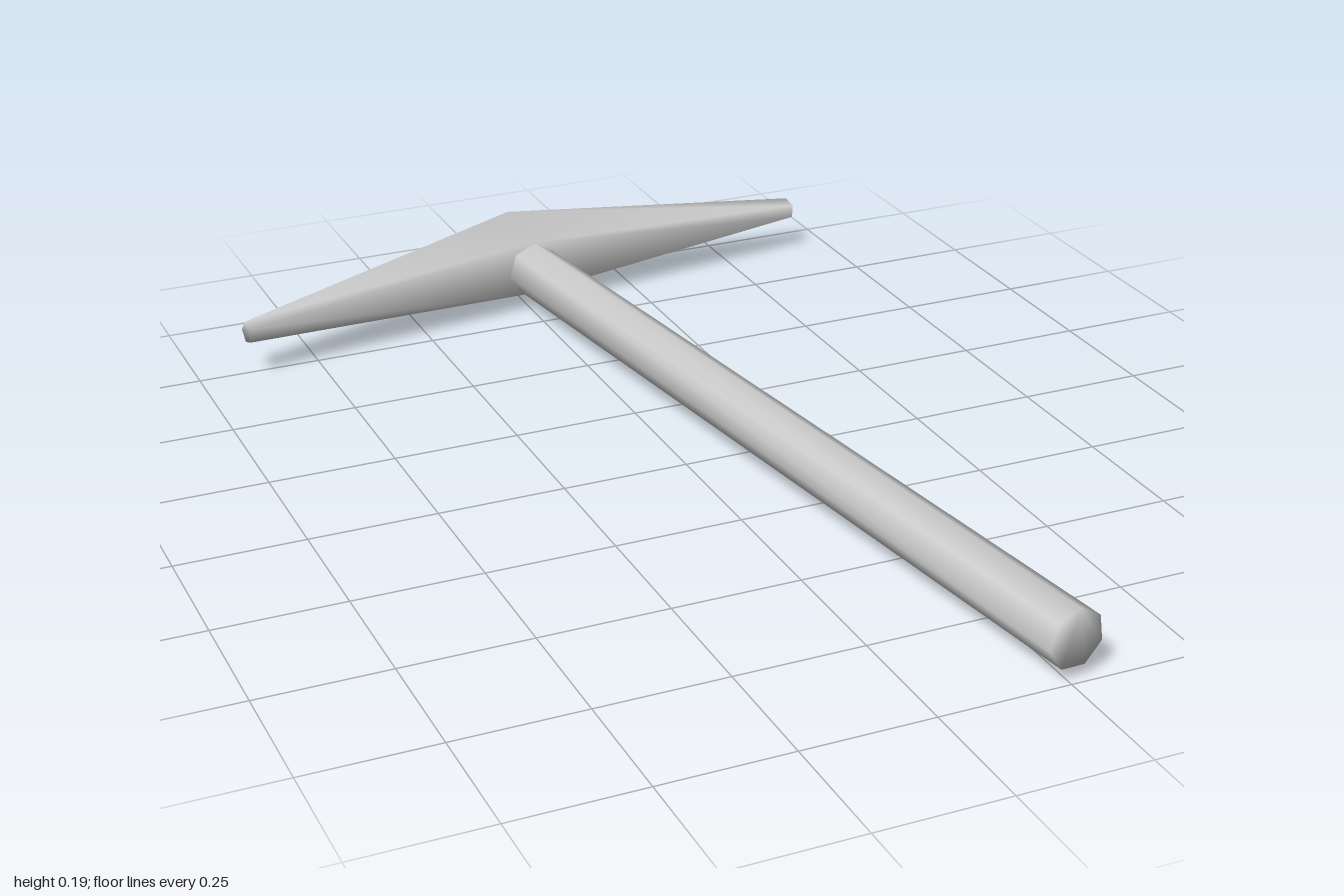
import * as THREE from 'three';

// Closed loft through polygon rings, sharing vertices so the shading is smooth.
// place(u, v, ring) puts a point of a ring into space, counterclockwise about the path.
function loft(rings, sides, phase, place) {
  const positions = [];
  const index = [];
  rings.forEach((ring) => {
    for (let j = 0; j < sides; j++) {
      const a = phase + (j / sides) * Math.PI * 2;
      positions.push(...place(ring.r * Math.cos(a), ring.r * Math.sin(a), ring));
    }
  });
  for (let i = 0; i < rings.length - 1; i++) {
    for (let j = 0; j < sides; j++) {
      const k = (j + 1) % sides;
      const a = i * sides + j, b = i * sides + k;
      index.push(a, b, b + sides, a, b + sides, a + sides);
    }
  }
  // End caps
  const last = (rings.length - 1) * sides;
  for (let j = 1; j < sides - 1; j++) {
    index.push(0, j + 1, j);
    index.push(last, last + j, last + j + 1);
  }
  const geometry = new THREE.BufferGeometry();
  geometry.setAttribute('position', new THREE.Float32BufferAttribute(positions, 3));
  geometry.setIndex(index);
  geometry.computeVertexNormals();
  return geometry;
}

export function createModel() {
  const grey = new THREE.MeshStandardMaterial({ color: 0xcccccc });
  grey.name = 'light grey';

  const model = new THREE.Group();
  model.name = 'pickaxe';

  // Head: five-sided, thick in the middle, swept towards the handle at both tips
  const headRings = [
    { x: -0.662, z: 0.074, r: 0.0235 },
    { x: 0, z: 0, r: 0.098 },
    { x: 0.66, z: 0.074, r: 0.0235 },
  ];
  const head = new THREE.Mesh(
    loft(headRings, 5, -Math.PI / 2, (u, v, s) => [s.x, u, s.z + v]),
    grey
  );
  head.name = 'pickHead';

  // Handle: seven-sided shaft, dropping slightly towards its free end
  const handleRings = [
    { y: 0, z: 0, r: 0.057 },
    { y: -0.016, z: 1.91, r: 0.057 },
  ];
  const handle = new THREE.Mesh(
    loft(handleRings, 7, THREE.MathUtils.degToRad(85), (u, v, s) => [u, s.y + v, s.z]),
    grey
  );
  handle.name = 'handle';

  // The whole tool lies turned a little on the ground
  const tool = new THREE.Group();
  tool.name = 'tool';
  tool.add(head, handle);
  tool.rotation.y = THREE.MathUtils.degToRad(8);
  tool.position.set(-0.004, 0.094, -0.903);
  model.add(tool);
  return model;
}
